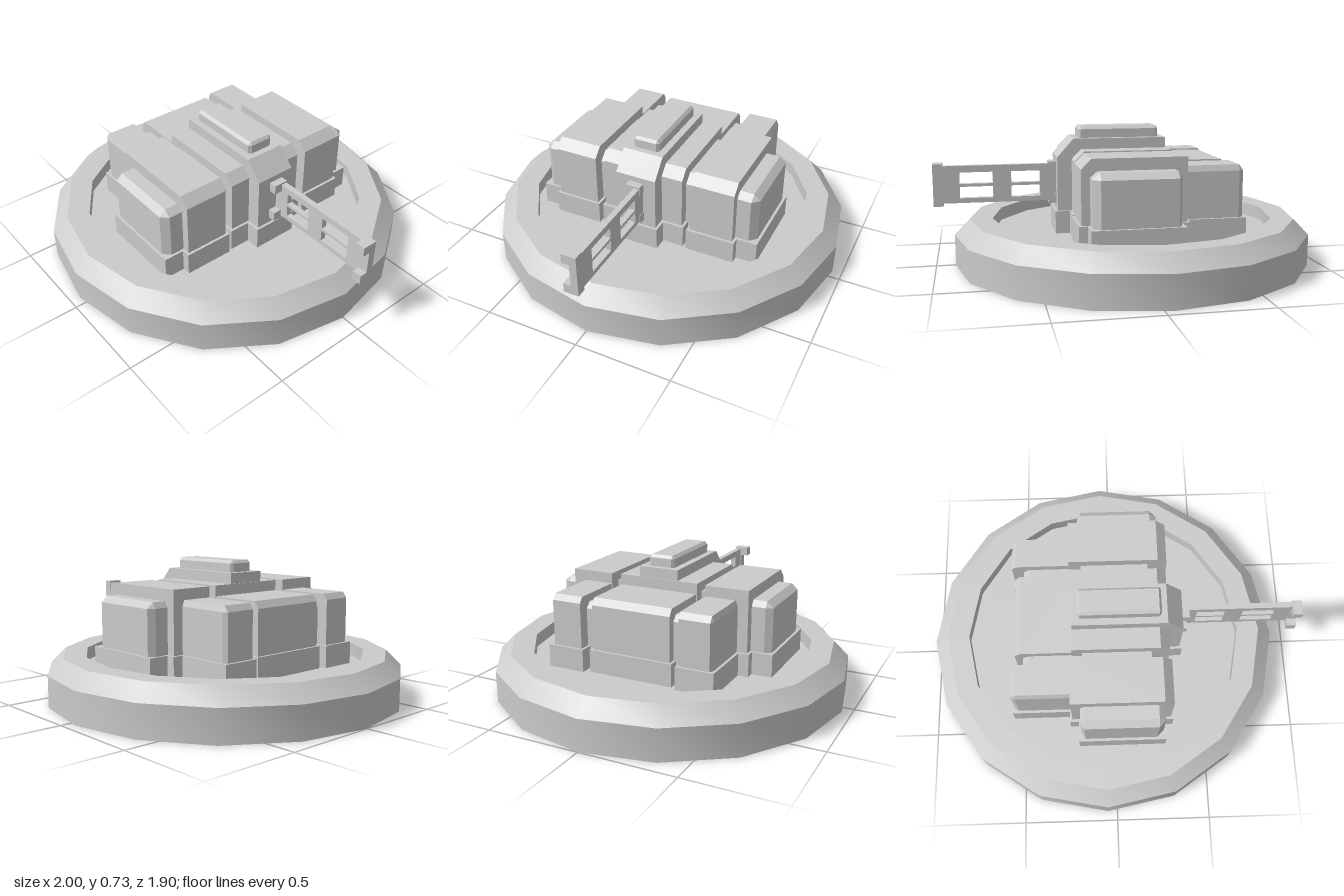
import * as THREE from 'three';
import { toCreasedNormals } from 'three/addons/utils/BufferGeometryUtils.js';
import { ConvexGeometry } from 'three/addons/geometries/ConvexGeometry.js';

const FLOOR = 0.175;
const grey = new THREE.MeshStandardMaterial({ color: 0xcccccc, flatShading: true });
const shell = new THREE.MeshStandardMaterial({ color: 0xcccccc, side: THREE.DoubleSide });

function add(parent, name, geometry, material = grey) {
  const mesh = new THREE.Mesh(geometry, material);
  mesh.name = name;
  parent.add(mesh);
  return mesh;
}

// Plain box given by its limits
function box(parent, name, [x0, x1], [y0, y1], [z0, z1]) {
  const mesh = add(parent, name, new THREE.BoxGeometry(x1 - x0, y1 - y0, z1 - z0));
  mesh.position.set((x0 + x1) / 2, (y0 + y1) / 2, (z0 + z1) / 2);
}

// Block whose top is inset per side (w, e, n, s) below a drop;
// vertical corners between two inset sides are cut as well
function block(parent, name, [x0, x1], [y0, y1], [z0, z1], { w = 0, e = 0, n = 0, s = 0, drop = 0 } = {}) {
  const points = [];
  for (const [x, dx] of [[x0, w], [x1, -e]]) {
    for (const [z, dz] of [[z0, n], [z1, -s]]) {
      const both = dx !== 0 && dz !== 0;
      const corners = both ? [[x + dx, z], [x, z + dz]] : [[x, z]];
      for (const [cx, cz] of corners) {
        points.push(new THREE.Vector3(cx, y0, cz));
        if (drop) points.push(new THREE.Vector3(cx, y1 - drop, cz));
      }
      points.push(new THREE.Vector3(x + dx, y1, z + dz));
    }
  }
  add(parent, name, new ConvexGeometry(points));
}

// Block standing on the floor with a plinth around its foot
function hull(parent, name, x, top, z, cuts) {
  block(parent, name, x, [FLOOR, top], z, cuts);
  const m = 0.014;
  box(parent, name + 'Plinth', [x[0] - m, x[1] + m], [FLOOR, 0.293], [z[0] - m, z[1] + m]);
}

function createBase() {
  const profile = [[0.95, 0], [0.95, 0.165], [0.87, 0.245], [0.75, 0.245], [0.75, FLOOR], [0, FLOOR]]
    .map(([r, y]) => new THREE.Vector2(r, y));
  const base = new THREE.Mesh(toCreasedNormals(new THREE.LatheGeometry(profile, 16), 0.5), shell);
  base.name = 'base';
  base.position.x = -0.05;
  return base;
}

// Windowed side arm: pierced plate, end channel and root brackets
function createArm() {
  const arm = new THREE.Group();
  arm.name = 'arm';
  const rect = (C, x0, x1, y0, y1) => new C([[x0, y0], [x1, y0], [x1, y1], [x0, y1]]
    .map(([x, y]) => new THREE.Vector2(x, y)));
  const plate = rect(THREE.Shape, 0.36, 0.96, 0.34, 0.535);
  for (const [x0, x1] of [[0.45, 0.6], [0.695, 0.865]]) {
    for (const [y0, y1] of [[0.365, 0.425], [0.44, 0.5]]) {
      plate.holes.push(rect(THREE.Path, x0, x1, y0, y1));
    }
  }
  const lattice = new THREE.ExtrudeGeometry(plate, { depth: 0.03, bevelEnabled: false });
  add(arm, 'lattice', lattice).position.z = -0.04;
  box(arm, 'endPlate', [0.95, 1], [0.325, 0.545], [-0.043, -0.005]);
  for (const [y0, y1] of [[0.325, 0.375], [0.495, 0.545]]) {
    box(arm, 'endFlange', [0.95, 1], [y0, y1], [-0.043, 0.035]);
    box(arm, 'rootBracket', [0.35, 0.405], [y0, y1], [-0.043, 0.035]);
  }
  return arm;
}

export function createModel() {
  const model = new THREE.Group();
  model.name = 'model';
  model.add(createBase());

  const building = new THREE.Group();
  building.name = 'building';
  model.add(building);

  // Central spine, stepped up towards the middle
  hull(building, 'rearHall', [-0.51, -0.2], 0.56, [-0.215, 0.215], { w: 0.025, drop: 0.035 });
  hull(building, 'innerHall', [-0.215, 0.29], 0.615, [-0.22, 0.22], { e: 0.05, drop: 0.05 });
  hull(building, 'centralTower', [-0.21, 0.365], 0.67, [-0.108, 0.108], { e: 0.085, drop: 0.095 });
  block(building, 'roofUnit', [-0.178, 0.248], [0.66, 0.73], [-0.072, 0.072],
    { w: 0.012, e: 0.012, n: 0.015, s: 0.015, drop: 0.015 });

  // Mirrored wings
  for (const side of [1, -1]) {
    const span = (a, b) => (side > 0 ? [a, b] : [-b, -a]);
    const outer = side > 0 ? 's' : 'n';
    block(building, 'connector', [-0.16, 0.24], [FLOOR, 0.565], span(0.2, 0.29), { e: 0.045, drop: 0.045 });
    block(building, 'rearConnector', [-0.47, -0.15], [FLOOR, 0.52], span(0.2, 0.29), { w: 0.03, drop: 0.03 });
    hull(building, 'rearWing', [-0.53, -0.2], 0.56, span(0.272, 0.445),
      { w: 0.022, [outer]: 0.012, drop: 0.03 });
    hull(building, 'mainWing', [-0.225, 0.298], 0.615, span(0.268, 0.5), { e: 0.05, drop: 0.05 });
    hull(building, 'endBay', [-0.178, 0.255], 0.555, span(0.48, 0.607),
      { w: 0.02, e: 0.035, [outer]: 0.035, drop: 0.03 });
  }

  model.add(createArm());
  return model;
}
